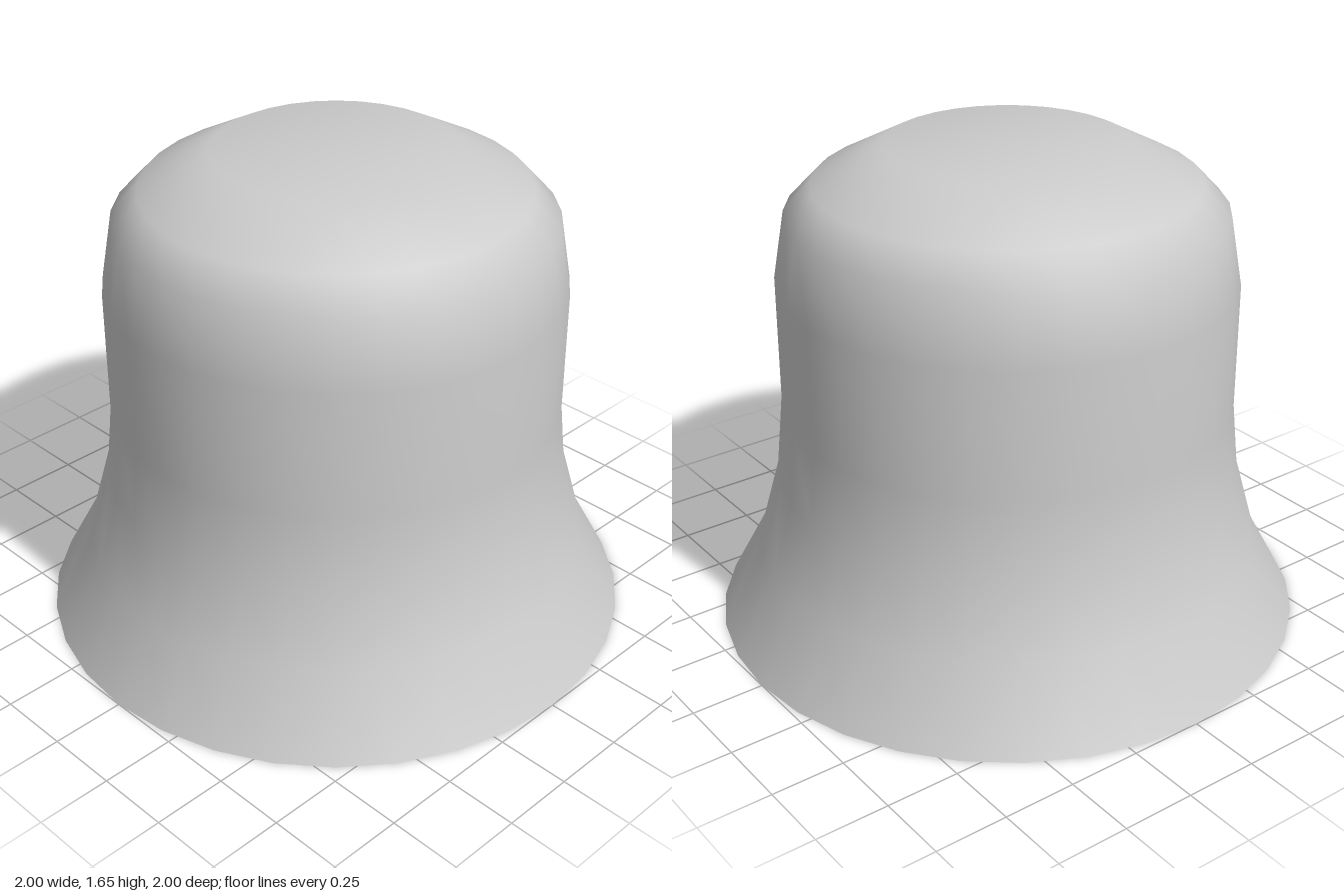
import * as THREE from 'three';

export function createModel() {
  const group = new THREE.Group();
  group.name = 'bell';

  // Profile from the flared rim up to the flat crown
  const profile = [
    [1, 0], [0.86, 0.26], [0.785, 0.53], [0.76, 0.78], [0.76, 1.21],
    [0.72, 1.44], [0.63, 1.535], [0.4, 1.655], [0, 1.655],
  ].map(([r, y]) => new THREE.Vector2(r, y));

  // Thin open shell, seen from inside as well
  const shell = new THREE.Mesh(
    new THREE.LatheGeometry(profile, 32),
    new THREE.MeshStandardMaterial({ color: 0xcccccc, side: THREE.DoubleSide })
  );
  shell.name = 'bellShell';
  group.add(shell);

  return group;
}
